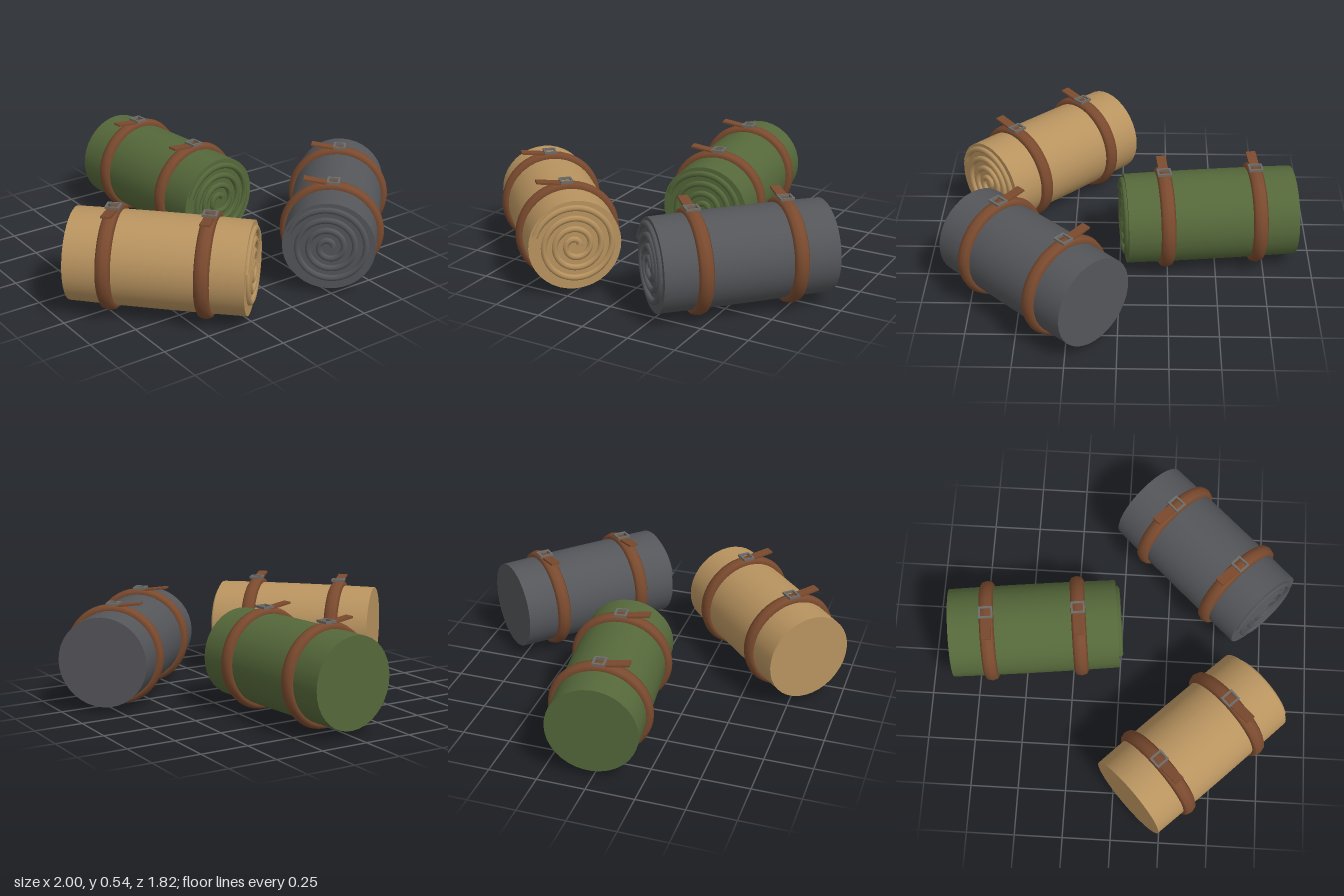
import * as THREE from 'three';

const R = 0.233, LENGTH = 0.875, AXIS_Y = 0.265;

const leather = new THREE.MeshStandardMaterial({ color: 0x7a4a2e });
const metal = new THREE.MeshStandardMaterial({ color: 0x6e6c68 });

function add(parent, name, geometry, material, x = 0, y = 0, z = 0) {
  const mesh = new THREE.Mesh(geometry, material);
  mesh.name = name;
  mesh.position.set(x, y, z);
  parent.add(mesh);
  return mesh;
}

// Fabric cylinder along z, very slightly fuller in the middle
function rollGeometry() {
  const g = new THREE.CylinderGeometry(R, R, LENGTH, 36, 6);
  const p = g.attributes.position;
  for (let i = 0; i < p.count; i++) {
    const t = (2 * p.getY(i)) / LENGTH;
    const s = 1.01 - 0.016 * t * t;
    p.setX(i, p.getX(i) * s);
    p.setZ(i, p.getZ(i) * s);
  }
  return g.rotateX(Math.PI / 2);
}

// Raised spiral showing the rolled layers on the front end
function spiralGeometry() {
  const points = [], turns = 3.45, steps = 90;
  for (let i = 0; i <= steps; i++) {
    const t = i / steps, a = t * turns * Math.PI * 2, r = 0.02 + 0.188 * t;
    points.push(new THREE.Vector3(r * Math.cos(a), r * Math.sin(a), 0));
  }
  return new THREE.TubeGeometry(new THREE.CatmullRomCurve3(points), 180, 0.016, 6);
}

// Square frame with a square hole, lying flat
function buckleGeometry() {
  const w = 0.032, h = 0.036, b = 0.01;
  const rect = (Type, x, y) => new Type([
    new THREE.Vector2(-x, -y), new THREE.Vector2(x, -y),
    new THREE.Vector2(x, y), new THREE.Vector2(-x, y)]);
  const shape = rect(THREE.Shape, w, h);
  shape.holes.push(rect(THREE.Path, w - b, h - b));
  return new THREE.ExtrudeGeometry(shape, { depth: 0.012, bevelEnabled: false })
    .rotateX(-Math.PI / 2);
}

// Strap ring with buckle and a loose tail lifting off the top
function makeStrap(z) {
  const strap = new THREE.Group();
  strap.name = 'strap';
  strap.position.z = z;
  add(strap, 'strapBand', new THREE.TorusGeometry(0.238, 0.026, 8, 48), leather).scale.z = 1.45;
  add(strap, 'buckle', buckleGeometry(), metal, 0, 0.261, 0);
  const tail = add(strap, 'strapTail', new THREE.BoxGeometry(0.135, 0.01, 0.05), leather, -0.083, 0.264, 0);
  tail.rotation.z = -0.13;
  return strap;
}

function makeBedroll(name, color, x, z, angle) {
  const fabric = new THREE.MeshStandardMaterial({ color });
  const bedroll = new THREE.Group();
  bedroll.name = name;
  bedroll.position.set(x, AXIS_Y, z);
  bedroll.rotation.y = angle;
  add(bedroll, 'roll', rollGeometry(), fabric);
  add(bedroll, 'rolledLayers', spiralGeometry(), fabric, 0, 0, LENGTH / 2 + 0.004);
  for (const side of [-1, 1]) bedroll.add(makeStrap(side * 0.236));
  return bedroll;
}

export function createModel() {
  const model = new THREE.Group();
  model.name = 'bedrolls';
  model.add(
    makeBedroll('greenBedroll', 0x55683a, 0.054, -0.46, 0.116),
    makeBedroll('tanBedroll', 0xb8935f, -0.527, 0.396, 0.772),
    makeBedroll('greyBedroll', 0x55565a, 0.53, 0.425, -0.764));
  return model;
}
